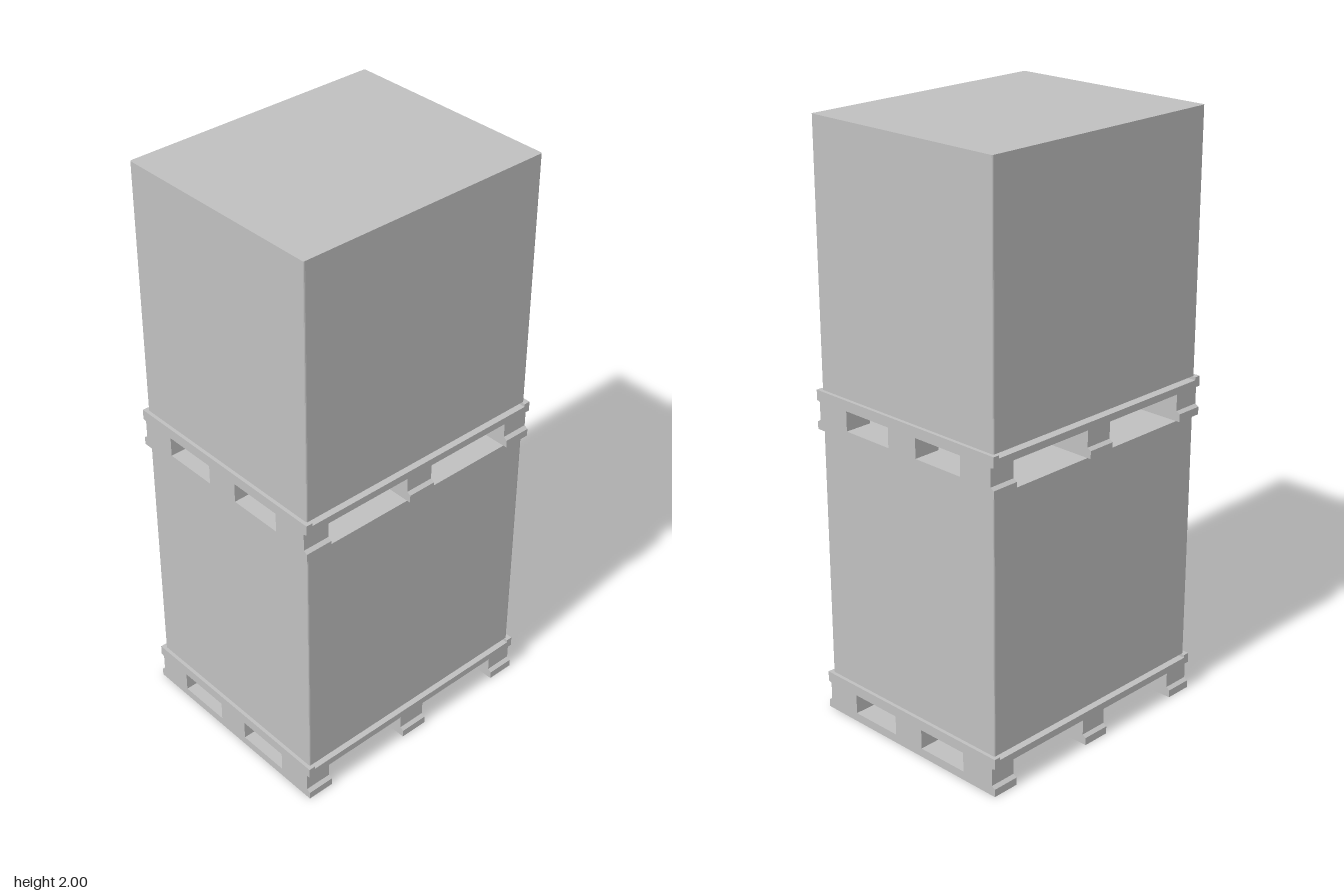
import * as THREE from 'three';

const gray = new THREE.MeshStandardMaterial({ color: 0xc0c0c0 });
gray.name = 'light gray';

const UNIT = 1.0;       // height of one loaded pallet
const DECK = 0.132;     // height the load rests at
const HALF_X = 0.465, HALF_Z = 0.388;

function add(parent, name, geometry, x = 0, y = 0, z = 0) {
  const mesh = new THREE.Mesh(geometry, gray);
  mesh.name = name;
  mesh.position.set(x, y, z);
  parent.add(mesh);
  return mesh;
}

// Runner side profile: notched ends and two fork openings, extruded along x
function runnerGeometry(x0, x1, top) {
  const half = [[HALF_Z, 0], [HALF_Z, 0.026], [0.375, 0.034], [0.375, 0.094], [HALF_Z, 0.098], [HALF_Z, top]];
  const pts = [...half, ...half.map(([z, y]) => [-z, y]).reverse()];
  const shape = new THREE.Shape(pts.map(([z, y]) => new THREE.Vector2(z, y)));
  for (const s of [-1, 1]) {
    const a = s * 0.06, b = s * 0.25;
    shape.holes.push(new THREE.Path([[a, 0.03], [b, 0.03], [b, 0.097], [a, 0.097]]
      .map(([z, y]) => new THREE.Vector2(z, y))));
  }
  const g = new THREE.ExtrudeGeometry(shape, { depth: x1 - x0, bevelEnabled: false });
  g.rotateY(-Math.PI / 2);
  g.translate(x1, 0, 0);
  return g;
}

// Load: upright block with slightly softened vertical corners
function loadGeometry(w, d, h, r) {
  const x = w / 2, y = d / 2;
  const s = new THREE.Shape();
  s.moveTo(-x + r, -y);
  s.lineTo(x - r, -y);
  s.quadraticCurveTo(x, -y, x, -y + r);
  s.lineTo(x, y - r);
  s.quadraticCurveTo(x, y, x - r, y);
  s.lineTo(-x + r, y);
  s.quadraticCurveTo(-x, y, -x, y - r);
  s.lineTo(-x, -y + r);
  s.quadraticCurveTo(-x, -y, -x + r, -y);
  const g = new THREE.ExtrudeGeometry(s, { depth: h, bevelEnabled: false, curveSegments: 3 });
  g.rotateX(-Math.PI / 2);
  return g;
}

function createPallet() {
  const pallet = new THREE.Group();
  pallet.name = 'pallet';

  // Three runners, the outer ones closed by a taller side panel
  add(pallet, 'centreRunner', runnerGeometry(-0.05, 0.05, 0.1));
  add(pallet, 'leftRunner', runnerGeometry(0.37, 0.443, 0.1));
  add(pallet, 'rightRunner', runnerGeometry(-0.443, -0.37, 0.1));
  add(pallet, 'leftSidePanel', runnerGeometry(0.443, HALF_X, DECK));
  add(pallet, 'rightSidePanel', runnerGeometry(-HALF_X, -0.443, DECK));

  // Deck slats lie a little below the side panel tops
  const count = 7, width = 0.085;
  const pitch = (2 * HALF_Z - width) / (count - 1);
  const slat = new THREE.BoxGeometry(0.886, 0.024, width);
  for (let i = 0; i < count; i++) {
    add(pallet, 'deckSlat', slat, 0, 0.11, -HALF_Z + width / 2 + i * pitch);
  }
  return pallet;
}

export function createModel() {
  const model = new THREE.Group();
  model.name = 'stackedPallets';
  for (let i = 0; i < 2; i++) {
    const level = new THREE.Group();
    level.name = i ? 'upperUnit' : 'lowerUnit';
    level.position.y = i * UNIT;
    level.add(createPallet());
    add(level, 'load', loadGeometry(0.906, 0.75, UNIT - DECK, 0.006), 0, DECK, 0);
    model.add(level);
  }
  return model;
}
